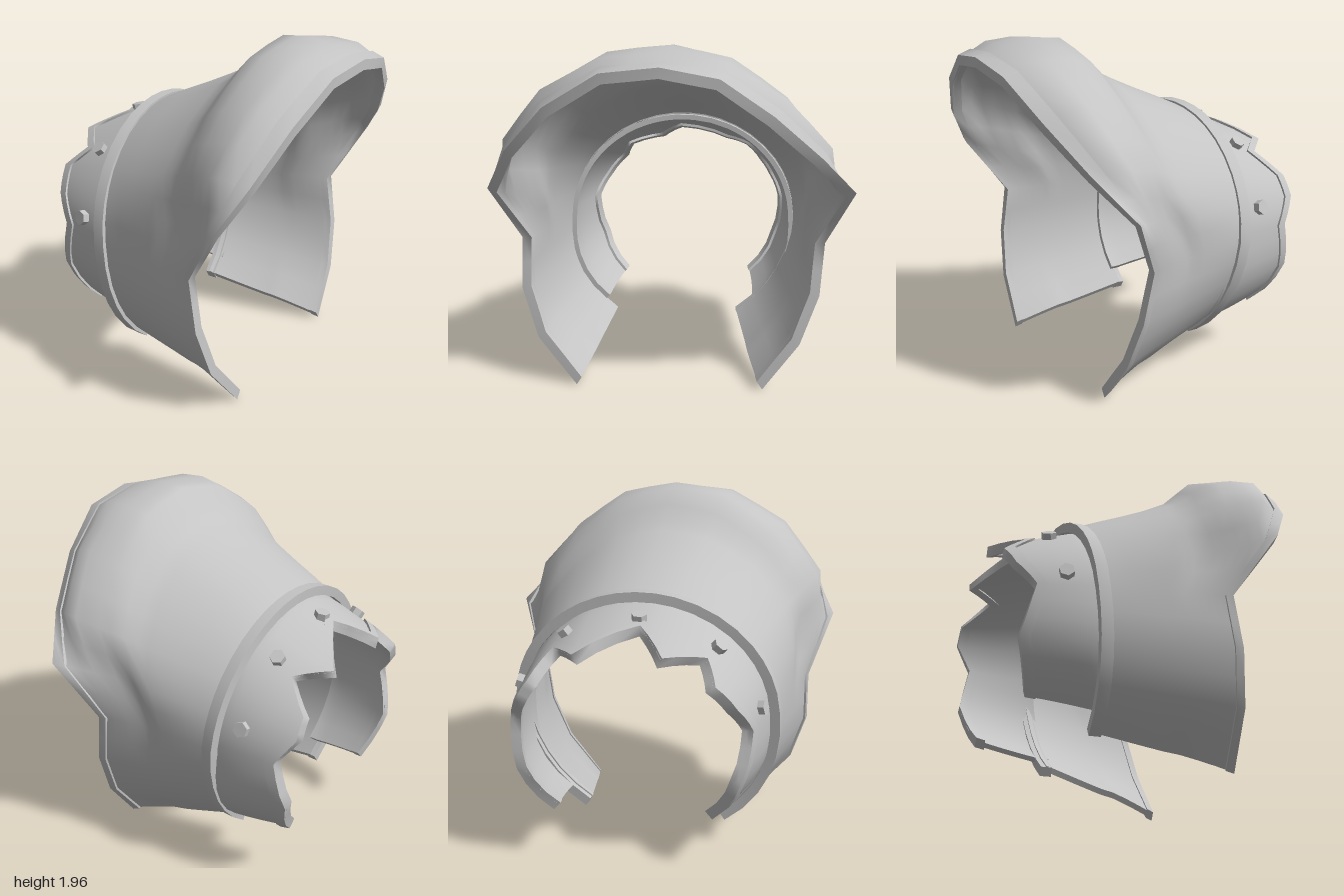
import * as THREE from 'three';
import { mergeGeometries } from 'three/addons/utils/BufferGeometryUtils.js';

const CY = 0.83, CZ = 0.05, DEG = Math.PI / 180;
const lerp = THREE.MathUtils.lerp;

// linear interpolation through a list, t in 0..1
function sample(list, t) {
  const f = THREE.MathUtils.clamp(t, 0, 1) * (list.length - 1);
  const i = Math.min(Math.floor(f), list.length - 2);
  return lerp(list[i], list[i + 1], f - i);
}

// grid surface; faces look along dv x du
function panel(f, nu, nv) {
  const pos = [], index = [];
  for (let i = 0; i <= nu; i++) for (let j = 0; j <= nv; j++) pos.push(...f(i / nu, j / nv));
  for (let i = 0; i < nu; i++) for (let j = 0; j < nv; j++) {
    const a = i * (nv + 1) + j, b = a + nv + 1;
    index.push(a, a + 1, b, b, a + 1, b + 1);
  }
  const g = new THREE.BufferGeometry();
  g.setAttribute('position', new THREE.Float32BufferAttribute(pos, 3));
  g.setIndex(index);
  g.computeVertexNormals();
  return g;
}

// closed plate around the x axis: outer skin, inner skin and four sharp edges
function shell(f, nu, nv, raise, thick) {
  const p = (u, v, w) => {
    const [x, y, z] = f(u, v);
    const l = Math.hypot(y - CY, z - CZ), k = 1 + (raise - w * thick) / l;
    return [x, CY + (y - CY) * k, CZ + (z - CZ) * k];
  };
  return mergeGeometries([
    panel((u, v) => p(u, v, 0), nu, nv),
    panel((u, v) => p(1 - u, v, 1), nu, nv),
    panel((u, v) => p(u, 1, v), nu, 1),
    panel((u, v) => p(u, 0, 1 - v), nu, 1),
    panel((u, v) => p(0, v, 1 - u), 1, nv),
    panel((u, v) => p(1, v, u), 1, nv),
  ]);
}

// x of the tilted joint between cuff and wrist plate
const jointX = (y, z) => -0.35 + 0.08 * (z - CZ) - 0.09 * (y - CY);

// flared rim, from the front lower end over the top to the rear lower end
const RIM = [
  [0.46, 0.03, 0.55], [0.44, 0.3, 0.77], [0.41, 0.58, 0.86], [0.37, 0.87, 0.86], [0.59, 1.2, 0.97],
  [0.71, 1.43, 0.83], [0.79, 1.67, 0.6], [0.835, 1.85, 0.3], [0.85, 1.885, 0], [0.82, 1.83, -0.29],
  [0.73, 1.64, -0.55], [0.59, 1.41, -0.79], [0.43, 1.2, -0.97], [0.26, 0.87, -0.82],
  [0.31, 0.58, -0.8], [0.35, 0.3, -0.7], [0.38, 0.03, -0.5],
];
const RIM_AXES = [0, 1, 2].map((k) => RIM.map((r) => r[k]));
// swelling of the cuff: strength per rim point, and its course along the cuff
const SWELL = [-0.08, 0, 0, 0, -0.35, 0.35, 0.7, 0.9, 1, 0.9, 0.7, 0.35, -0.45, -0.1, 0, 0, -0.08];
const COURSE = [0, 0.025, 0.045, 0.07, 0.105, 0.225, 0.19, 0.11, 0];
// fuller lip close behind the rim's shoulders
const LIP = [0, 0, 0, 0, 0, 0.8, 0.7, 0.3, 0, 0.3, 0.7, 0.8, 0, 0, 0, 0, 0];
const LIP_COURSE = [0, 0, 0, 0, 0, 0, 0.05, 0.09, 0];

function cuff(u, s) {
  const [x, y, z] = RIM_AXES.map((l) => sample(l, u));
  const a = Math.atan2(z - CZ, y - CY), c = Math.cos(a), n = Math.sin(a);
  const low = Math.max(-c, 0);
  const ry = CY + 0.67 * c - 0.085 * low, rz = CZ + 0.72 * n + 0.06 * low;
  const bump = sample(SWELL, u) * sample(COURSE, s) + sample(LIP, u) * sample(LIP_COURSE, s);
  return [lerp(jointX(ry, rz), x, s), lerp(ry, y, s) + bump * c, lerp(rz, z, s) + bump * n];
}

// jagged wrist edge: angle from the top (front positive) and x
const JAG = [
  [141, -0.62], [112, -0.69], [85, -0.62], [68, -0.72], [50, -0.77], [38, -0.65], [20, -0.82], [4, -0.63],
  [-24, -0.85], [-38, -0.7], [-54, -0.85], [-68, -0.86], [-85, -0.77], [-112, -0.82], [-142, -0.73],
];
const JAG_A = JAG.map((j) => j[0]), JAG_X = JAG.map((j) => j[1]);

// x of the wrist plate's hidden end, just inside the cuff
const wristEnd = (a) => jointX(CY + 0.65 * Math.cos(a), CZ + 0.69 * Math.sin(a));

// point on the tapering wrist plate, which widens a little towards its lower ends
function wristPoint(a, x) {
  const c = Math.cos(a), n = Math.sin(a), low = Math.max(-c, 0);
  const k = Math.max(wristEnd(a) - x, 0);
  const ry = 0.64 - (c < 0 ? 0.2 : 0.36) * k, rz = 0.69 - 0.05 * k - 0.35 * k * k;
  return [x, CY + ry * c - 0.05 * low, CZ + rz * n * (1 + 0.12 * low)];
}

export function createModel() {
  const model = new THREE.Group();
  const steel = new THREE.MeshStandardMaterial({ color: 0xc4c4c4 });
  steel.name = 'steel';
  const add = (name, geometry) => {
    const m = new THREE.Mesh(geometry, steel);
    m.name = name;
    model.add(m);
    return m;
  };
  const nu = (RIM.length - 1) * 2, nw = (JAG.length - 1) * 3;

  // flared cuff with its raised rim and the band at the joint
  add('cuff', shell(cuff, nu, 16, 0, 0.035));
  add('cuffRim', shell((u, v) => cuff(u, lerp(0.95, 1.01, v)), nu, 1, 0.012, 0.055));
  add('jointBand', shell((u, v) => {
    const [x, y, z] = cuff(u, 0);
    return [x + lerp(-0.03, 0.035, v), y, z];
  }, nu, 1, 0.028, 0.055));

  // wrist plate with a raised jagged edge
  add('wristPlate', shell((u, v) => {
    const a = sample(JAG_A, u) * DEG;
    return wristPoint(a, lerp(sample(JAG_X, u), wristEnd(a) + 0.05, v));
  }, nw, 8, 0, 0.03));
  add('jaggedEdge', shell((u, v) => wristPoint(sample(JAG_A, u) * DEG, sample(JAG_X, u) + 0.055 * v),
    nw, 1, 0.014, 0.06));

  // hexagonal rivets
  const head = new THREE.CylinderGeometry(0.042, 0.042, 0.05, 6).toNonIndexed();
  head.computeVertexNormals();
  for (const [deg, x] of [[78, -0.47], [40, -0.52], [2, -0.565], [-34, -0.585], [-72, -0.57]]) {
    const a = deg * DEG, m = add('rivet', head);
    m.position.set(...wristPoint(a, x));
    const out = new THREE.Vector3(-0.2, Math.cos(a), Math.sin(a)).normalize();
    m.quaternion.setFromUnitVectors(new THREE.Vector3(0, 1, 0), out);
    m.position.addScaledVector(out, 0.01);
  }
  return model;
}
